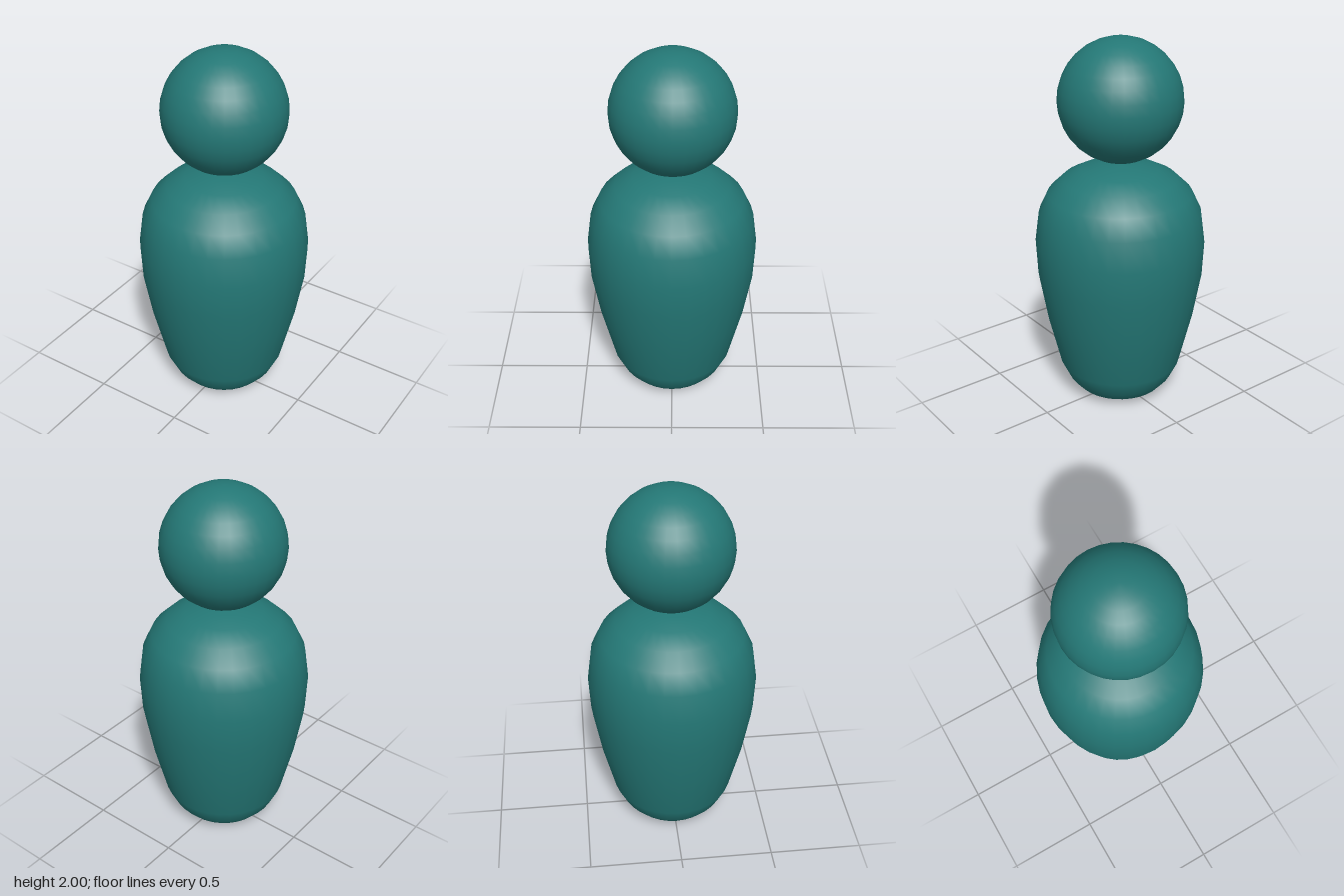
import * as THREE from 'three';

export function createModel() {
  const model = new THREE.Group();
  const material = new THREE.MeshStandardMaterial({ color: 0x247876 });

  // Body: rounded, tapering turned form, profile [radius, height] from base to top
  const profile = [
    [0, 0], [0.1, 0.004], [0.196, 0.017], [0.243, 0.045], [0.29, 0.1], [0.333, 0.19],
    [0.4, 0.47], [0.443, 0.72], [0.452, 0.913], [0.43, 1.075], [0.38, 1.18],
    [0.3, 1.257], [0.206, 1.305], [0.1, 1.328], [0, 1.337],
  ].map(([r, y]) => new THREE.Vector2(r, y));
  const body = new THREE.Mesh(new THREE.LatheGeometry(profile, 32), material);
  body.name = 'body';
  model.add(body);

  // Head: ball floating just above the body
  const head = new THREE.Mesh(new THREE.SphereGeometry(0.324, 32, 16), material);
  head.name = 'head';
  head.position.set(0, 1.676, -0.004);
  model.add(head);

  return model;
}
